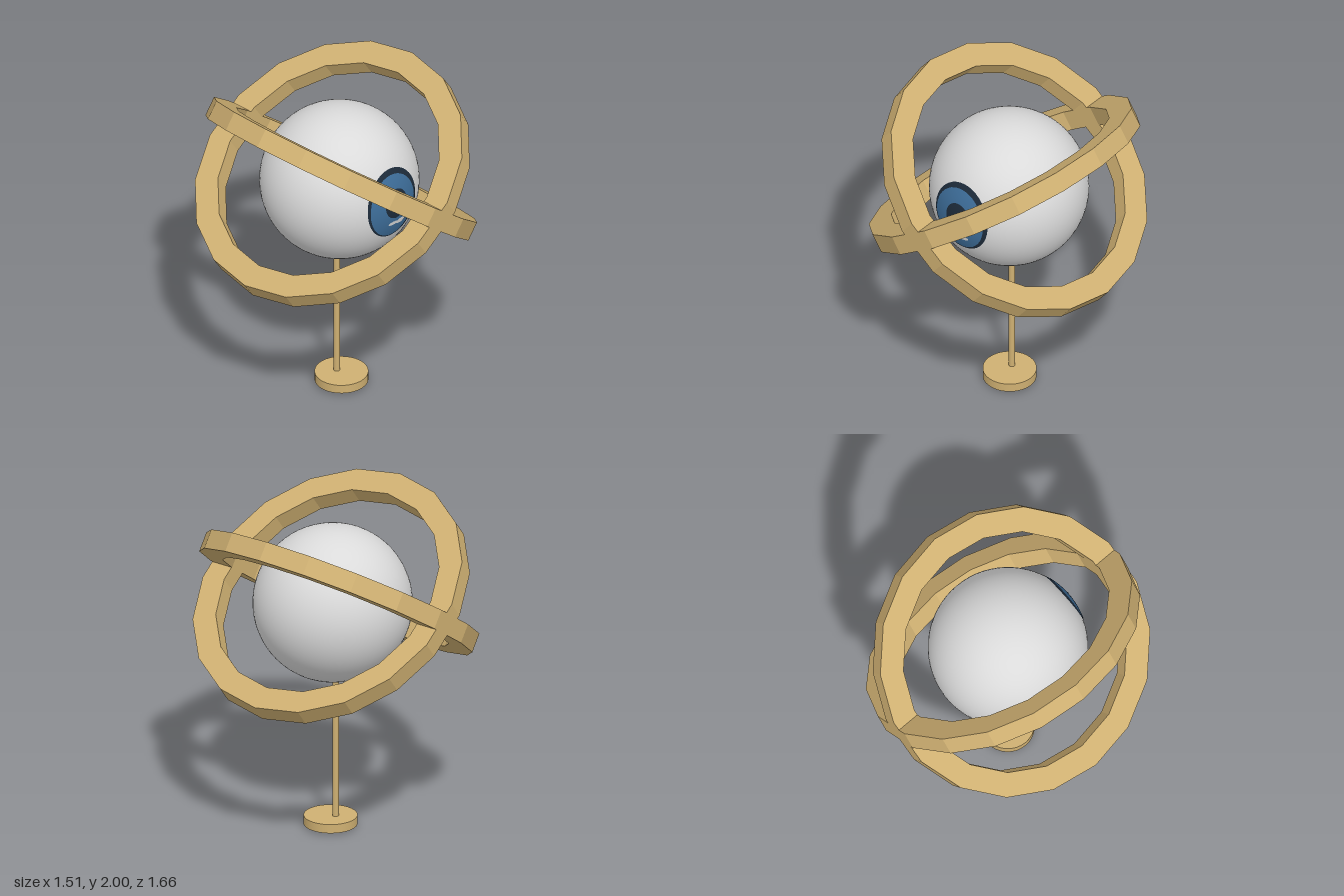
import * as THREE from 'three';

const EYE = { x: 0.02, y: 1.385, z: 0.013, r: 0.463 };

function mesh(name, geometry, material, x = 0, y = 0, z = 0) {
  const m = new THREE.Mesh(geometry, material);
  m.name = name;
  m.position.set(x, y, z);
  return m;
}

// Elliptical patch lying on the ball's front, lifted slightly off its surface
function ballPatch(cx, cy, rx, ry, lift) {
  const g = new THREE.RingGeometry(0, 1, 40, 8);
  const p = g.attributes.position;
  const n = g.attributes.normal;
  const R = EYE.r + lift;
  for (let i = 0; i < p.count; i++) {
    const x = cx - EYE.x + p.getX(i) * rx;
    const y = cy - EYE.y + p.getY(i) * ry;
    const z = Math.sqrt(R * R - x * x - y * y);
    p.setXYZ(i, x, y, z);
    n.setXYZ(i, x / R, y / R, z / R);
  }
  return g;
}

// Flat 18-sided band with a rectangular section, lying in the xz plane
function bandGeometry(outer, inner, width) {
  const polygon = (Type, r) => {
    const s = new Type();
    s.setFromPoints(Array.from({ length: 18 }, (_, i) => {
      const a = (i / 18) * Math.PI * 2;
      return new THREE.Vector2(Math.cos(a) * r, Math.sin(a) * r);
    }));
    return s;
  };
  const shape = polygon(THREE.Shape, outer);
  shape.holes.push(polygon(THREE.Path, inner));
  const g = new THREE.ExtrudeGeometry(shape, { depth: width, bevelEnabled: false });
  return g.translate(0, 0, -width / 2).rotateX(Math.PI / 2);
}

export function createModel() {
  const group = new THREE.Group();
  const mat = (name, color) => {
    const m = new THREE.MeshStandardMaterial({ color });
    m.name = name;
    return m;
  };
  const gold = mat('gold', 0xcfb072);
  const white = mat('white', 0xdadada);
  const blue = mat('blue', 0x3d6d99);
  const dark = mat('dark navy', 0x1d2b3a);

  // Eyeball with painted iris, pupil and highlights
  const eye = new THREE.Group();
  eye.name = 'eye';
  eye.position.set(EYE.x, EYE.y, EYE.z);
  eye.add(
    mesh('eyeball', new THREE.SphereGeometry(EYE.r, 64, 40), white),
    mesh('irisRim', ballPatch(0.015, 1.415, 0.195, 0.215, 0.002), dark),
    mesh('iris', ballPatch(0.01, 1.405, 0.175, 0.195, 0.004), blue),
    mesh('pupil', ballPatch(0.015, 1.425, 0.085, 0.092, 0.006), dark),
    mesh('highlightLeft', ballPatch(-0.012, 1.302, 0.035, 0.012, 0.007), white),
    mesh('highlightRight', ballPatch(0.05, 1.298, 0.042, 0.016, 0.007), white),
  );
  group.add(eye);

  // Two crossed bands around the eye
  const band = bandGeometry(0.845, 0.7, 0.116);
  const bands = [
    ['fallingBand', 0.049, -38],
    ['risingBand', -0.025, 34.2],
  ];
  for (const [name, x, tilt] of bands) {
    const b = mesh(name, band, gold, x, 1.436, 0);
    b.rotation.z = THREE.MathUtils.degToRad(tilt);
    group.add(b);
  }

  // Stand
  group.add(
    mesh('pole', new THREE.CylinderGeometry(0.019, 0.019, 0.94, 12), gold, 0.022, 0.47, -0.01),
    mesh('base', new THREE.CylinderGeometry(0.156, 0.156, 0.054, 32), gold, 0.03, 0.038, 0.02),
  );
  return group;
}
